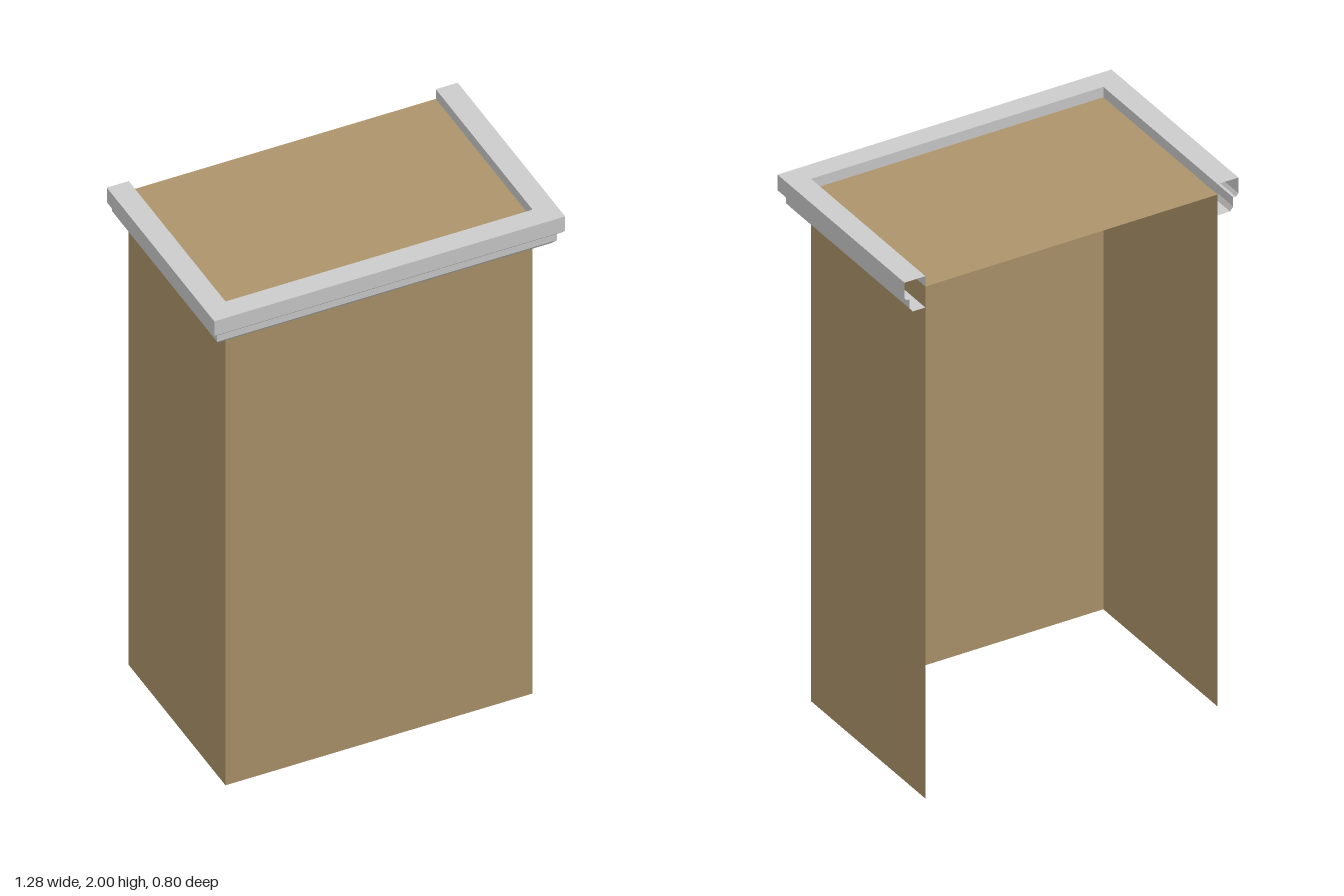
import * as THREE from 'three';

const HALF_W = 0.56, FRONT = 0.32, BACK = -0.4, PANEL_TOP = 1.96;

// Trim cross-section: [distance out from the panel, height]
const TRIM = [
  [0, PANEL_TOP], [0, 2], [0.08, 2], [0.08, 1.94], [0.07, 1.93], [0.06, 1.93],
  [0.06, 1.895], [0.048, 1.88], [0, 1.88],
];

// Sweeps the cross-section along the two sides and the front, with mitred corners and open ends
function sweepTrim(profile) {
  const path = (d) => [
    [-HALF_W - d, BACK], [-HALF_W - d, FRONT + d], [HALF_W + d, FRONT + d], [HALF_W + d, BACK],
  ];
  const positions = [];
  for (let i = 0; i < profile.length - 1; i++) {
    const [d0, y0] = profile[i], [d1, y1] = profile[i + 1];
    const upper = path(d0), lower = path(d1);
    for (let j = 0; j < 3; j++) {
      const a = [upper[j][0], y0, upper[j][1]], b = [lower[j][0], y1, lower[j][1]];
      const c = [lower[j + 1][0], y1, lower[j + 1][1]], d = [upper[j + 1][0], y0, upper[j + 1][1]];
      positions.push(...a, ...b, ...c, ...a, ...c, ...d);
    }
  }
  const geometry = new THREE.BufferGeometry();
  geometry.setAttribute('position', new THREE.Float32BufferAttribute(positions, 3));
  geometry.computeVertexNormals();
  return geometry;
}

export function createModel() {
  const model = new THREE.Group();
  model.name = 'cabinetShell';
  const wood = new THREE.MeshStandardMaterial({ color: 0xad946b, side: THREE.DoubleSide });
  const grey = new THREE.MeshStandardMaterial({ color: 0xcccccc, side: THREE.DoubleSide });
  const depth = FRONT - BACK, midZ = (FRONT + BACK) / 2, midY = PANEL_TOP / 2;

  const addPanel = (name, width, height, position, rotation = [0, 0, 0]) => {
    const panel = new THREE.Mesh(new THREE.PlaneGeometry(width, height), wood);
    panel.name = name;
    panel.position.set(...position);
    panel.rotation.set(...rotation);
    model.add(panel);
  };

  // Thin panels, open at the back and the bottom
  addPanel('frontPanel', HALF_W * 2, PANEL_TOP, [0, midY, FRONT]);
  addPanel('topPanel', HALF_W * 2, depth, [0, PANEL_TOP, midZ], [-Math.PI / 2, 0, 0]);
  for (const [name, side] of [['leftPanel', 1], ['rightPanel', -1]]) {
    addPanel(name, depth, PANEL_TOP, [side * HALF_W, midY, midZ], [0, side * Math.PI / 2, 0]);
  }

  // Stepped moulding around the top
  const trim = new THREE.Mesh(sweepTrim(TRIM), grey);
  trim.name = 'topTrim';
  model.add(trim);
  return model;
}
